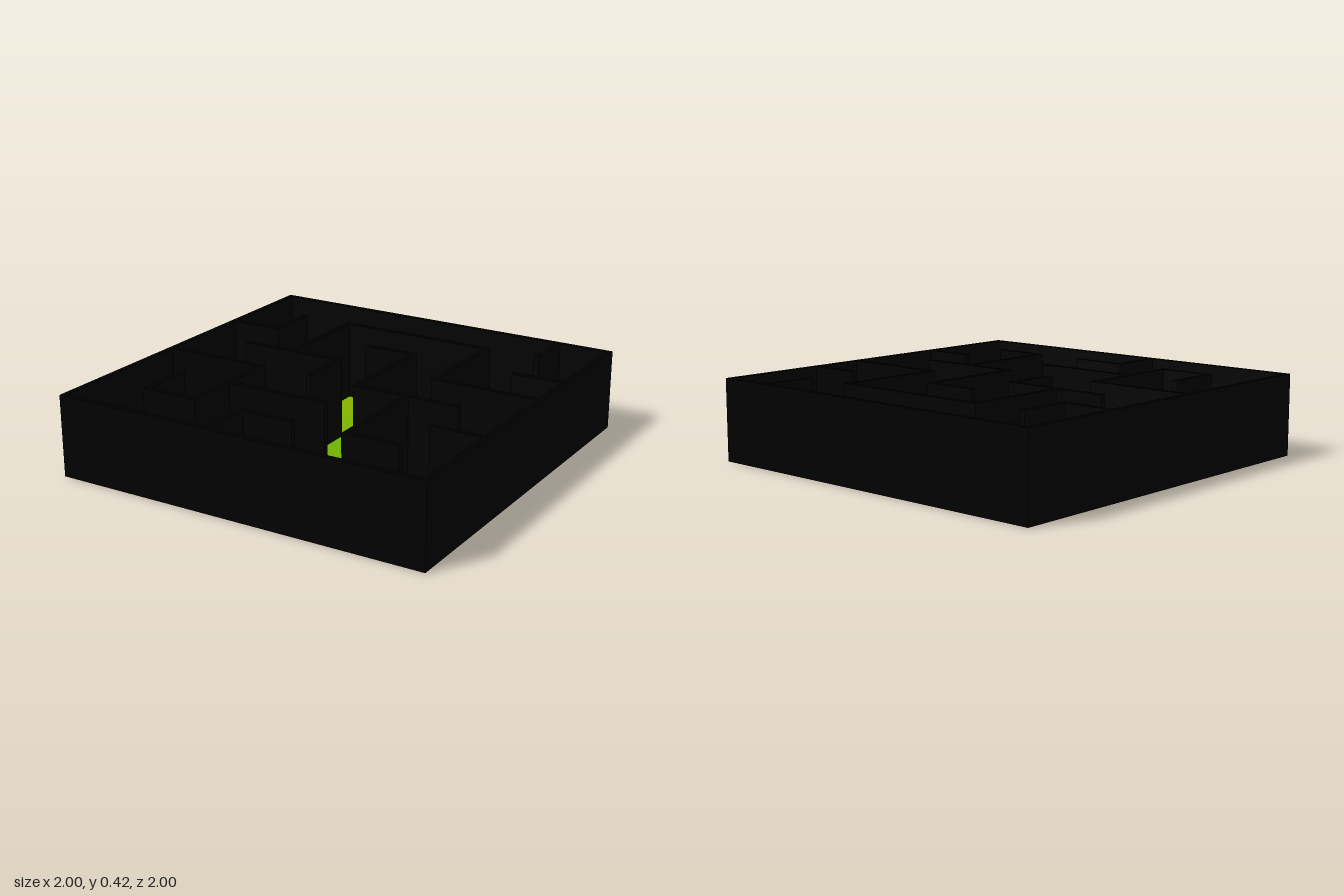
import * as THREE from 'three';

const N = 7, T = 0.028, PITCH = (2 - T) / N, HEIGHT = 0.424;
const line = (i) => -1 + T / 2 + i * PITCH;

// Walls along x: [z line, from, to]; walls along z: [x line, from, to]
const ALONG_X = [
  [0, 0, 7], [1, 2, 5], [2, 0, 1], [2, 3, 4], [2, 6, 7], [3, 1, 3], [3, 5, 7],
  [4, 0, 2], [4, 4, 6], [5, 2, 4], [5, 6, 7], [6, 1, 2], [6, 3, 4], [6, 5, 6], [7, 0, 7],
];
const ALONG_Z = [
  [0, 0, 7], [1, 1, 2], [1, 5, 6], [2, 1, 3], [2, 4, 6], [3, 3, 4], [3, 6, 7],
  [4, 2, 4], [5, 1, 3], [5, 4, 6], [6, 0, 1], [7, 0, 7],
];
const START = [6, 2], END = [1, 5];

const blocked = (walls, at, i) => walls.some(([l, a, b]) => l === at && i >= a && i < b);

// Neighbouring cells not separated by a wall
function neighbours([c, r]) {
  const out = [];
  if (!blocked(ALONG_Z, c, r)) out.push([c - 1, r]);
  if (!blocked(ALONG_Z, c + 1, r)) out.push([c + 1, r]);
  if (!blocked(ALONG_X, r, c)) out.push([c, r - 1]);
  if (!blocked(ALONG_X, r + 1, c)) out.push([c, r + 1]);
  return out;
}

// Steps from the start to every cell, and the cells of the shortest route
function solve() {
  const key = ([c, r]) => r * N + c;
  const steps = new Map([[key(START), 0]]), from = new Map();
  const queue = [START];
  for (const cell of queue) {
    for (const next of neighbours(cell)) {
      if (steps.has(key(next))) continue;
      steps.set(key(next), steps.get(key(cell)) + 1);
      from.set(key(next), key(cell));
      queue.push(next);
    }
  }
  const route = new Set();
  for (let k = key(END); k !== undefined; k = from.get(k)) route.add(k);
  return { steps, route, longest: Math.max(...steps.values()) };
}

export function createModel() {
  const model = new THREE.Group();
  model.name = 'maze';

  // Floor tiles: red grows with distance, green is added off the route
  const floor = new THREE.Group();
  floor.name = 'floor';
  const tileGeometry = new THREE.BoxGeometry(PITCH, 0.004, PITCH);
  const { steps, route, longest } = solve();
  for (let r = 0; r < N; r++) {
    for (let c = 0; c < N; c++) {
      const k = r * N + c;
      const material = new THREE.MeshStandardMaterial();
      material.color.setRGB(0.7 * (steps.get(k) ?? 0) / longest, route.has(k) ? 0 : 0.7, 0, THREE.SRGBColorSpace);
      const tile = new THREE.Mesh(tileGeometry, material);
      tile.name = route.has(k) ? 'routeTile' : 'sideTile';
      tile.position.set(line(c + 0.5), 0.002, line(r + 0.5));
      floor.add(tile);
    }
  }
  model.add(floor);

  // Walls: those along x are lengthened to fill corners, free ends stop on the line
  const walls = new THREE.Group();
  walls.name = 'walls';
  const black = new THREE.MeshStandardMaterial({ color: 0x000000 });
  const meets = (x, z) => ALONG_Z.some(([l, a, b]) => l === x && z >= a && z <= b);
  function addWall(name, alongX, at, a, b) {
    const length = b - a, h = HEIGHT - 0.002;
    const wall = new THREE.Mesh(
      new THREE.BoxGeometry(alongX ? length : T, h, alongX ? T : length), black);
    wall.name = name;
    const mid = (a + b) / 2;
    wall.position.set(alongX ? mid : at, 0.002 + h / 2, alongX ? at : mid);
    walls.add(wall);
  }
  const label = (l) => (l === 0 || l === N ? 'outerWall' : 'innerWall');
  for (const [l, a, b] of ALONG_X) {
    addWall(label(l), true, line(l),
      line(a) - (meets(a, l) ? T / 2 : 0), line(b) + (meets(b, l) ? T / 2 : 0));
  }
  for (const [l, a, b] of ALONG_Z) addWall(label(l), false, line(l), line(a), line(b));
  model.add(walls);

  return model;
}
